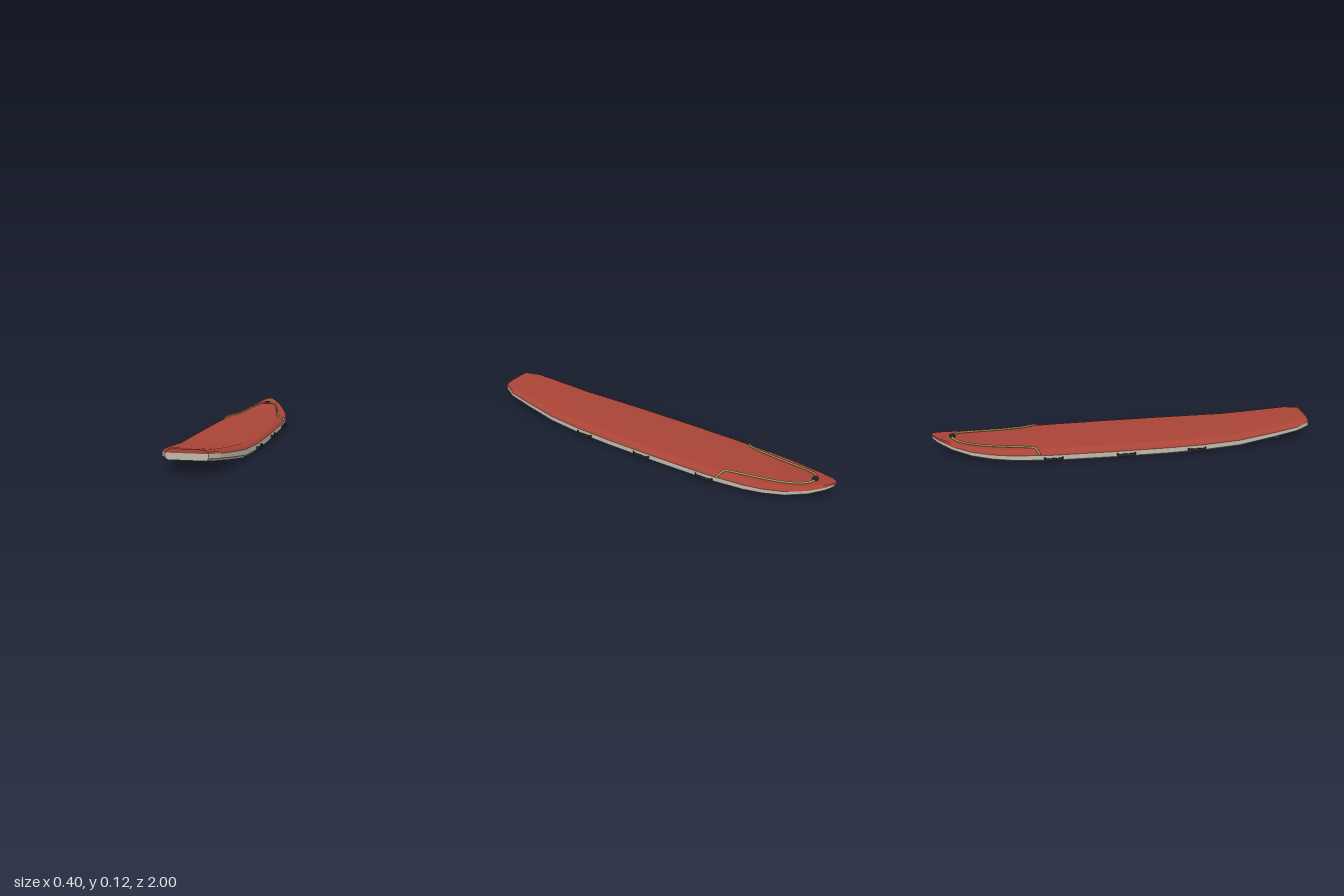
import * as THREE from 'three';

const paint = (name, color) => new THREE.MeshStandardMaterial({ name, color });

// Stations from nose to tail: z, half width, bottom y, top y
const STATIONS = [
  [-1, 0.016, 0.108, 0.127], [-0.97, 0.045, 0.092, 0.119], [-0.9, 0.088, 0.063, 0.102],
  [-0.8, 0.127, 0.037, 0.087], [-0.7, 0.152, 0.023, 0.079], [-0.6, 0.166, 0.013, 0.075],
  [-0.4, 0.18, 0.004, 0.073], [-0.1, 0.185, 0.002, 0.073], [0.2, 0.185, 0.002, 0.073],
  [0.4, 0.18, 0.004, 0.074], [0.6, 0.167, 0.012, 0.078], [0.8, 0.146, 0.039, 0.096],
  [0.93, 0.128, 0.058, 0.109], [1, 0.093, 0.067, 0.115],
];

// Interpolated station at any z
function stationAt(z) {
  let i = 0;
  while (i < STATIONS.length - 2 && STATIONS[i + 1][0] < z) i++;
  const a = STATIONS[i], b = STATIONS[i + 1], t = (z - a[0]) / (b[0] - a[0]);
  return a.map((v, k) => v + (b[k] - v) * t);
}

const mirrorRow = (half) => [...half, ...half.filter((p) => p[0] > 0).reverse().map(([x, y, z]) => [-x, y, z])];

// Cross-sections running from the left seam to the right seam
const seamY = (b, t) => b + (t - b) * 0.62;
const deckRow = ([z, w, b, t]) => mirrorRow([
  [w, seamY(b, t), z], [w * 0.95, b + (t - b) * 0.8, z], [w * 0.82, b + (t - b) * 0.96, z], [w * 0.4, t, z]]);
const hullRow = ([z, w, b, t]) => mirrorRow([
  [w, seamY(b, t), z], [w, b + (t - b) * 0.22, z], [w * 0.9, b, z]]);

// Lofts rows of points into flat faces and closes both ends
function loft(rows, flip) {
  const pos = [];
  const tri = (a, b, c) => pos.push(...a, ...(flip ? c : b), ...(flip ? b : c));
  for (let i = 0; i < rows.length - 1; i++) {
    const r = rows[i], s = rows[i + 1];
    for (let j = 0; j < r.length - 1; j++) {
      tri(r[j], r[j + 1], s[j]);
      tri(r[j + 1], s[j + 1], s[j]);
    }
  }
  const first = rows[0], last = rows[rows.length - 1];
  for (let j = 1; j < first.length - 1; j++) {
    tri(first[0], first[j + 1], first[j]);
    tri(last[0], last[j], last[j + 1]);
  }
  const geo = new THREE.BufferGeometry();
  geo.setAttribute('position', new THREE.Float32BufferAttribute(pos, 3));
  geo.computeVertexNormals();
  return geo;
}

// Height of the deck surface at a point
function deckHeight(x, z) {
  const row = deckRow(stationAt(z)).slice(0, 4), ax = Math.abs(x);
  if (ax >= row[0][0]) return row[0][1];
  for (let i = 0; i < 3; i++) {
    const a = row[i], b = row[i + 1];
    if (ax >= b[0]) return b[1] + (a[1] - b[1]) * (ax - b[0]) / (a[0] - b[0]);
  }
  return row[3][1];
}

// Extruded outline, centred on its depth
function plate(points, depth) {
  const shape = new THREE.Shape(points.map(([x, y]) => new THREE.Vector2(x, y)));
  return new THREE.ExtrudeGeometry(shape, { depth, bevelEnabled: false }).translate(0, 0, -depth / 2);
}

export function createModel() {
  const red = paint('deck red', 0xa94437);
  const beige = paint('hull beige', 0xc0baab);
  const black = paint('fitting black', 0x2b2d2f);
  const olive = paint('rope olive', 0xa59c62);
  const model = new THREE.Group();
  model.name = 'paddleBoard';
  const add = (name, geo, mat) => {
    const mesh = new THREE.Mesh(geo, mat);
    mesh.name = name;
    model.add(mesh);
    return mesh;
  };

  // Board: red deck over a beige hull
  add('deck', loft(STATIONS.map(deckRow), false), red);
  add('hull', loft(STATIONS.map(hullRow), true), beige);

  // Grab handles: bent straps along both rails
  for (const side of [1, -1]) {
    for (const z of [0.362, -0.012, -0.387]) {
      const w = stationAt(z)[1] - 0.002, out = w + 0.017;
      const outline = [[w, -0.05], [out - 0.004, -0.044], [out, -0.032], [out, 0.032], [out - 0.004, 0.044], [w, 0.05],
        [w, 0.045], [out - 0.007, 0.041], [out - 0.004, 0.031], [out - 0.004, -0.031], [out - 0.007, -0.041], [w, -0.045]];
      const handle = add(side > 0 ? 'leftHandle' : 'rightHandle', plate(outline, 0.014).rotateX(Math.PI / 2), black);
      handle.position.set(0, 0.029, z);
      if (side < 0) handle.rotation.y = Math.PI;
    }
  }

  // Raked tail fins
  const fin = [[0.86, 0.003], [0.83, 0.005], [0.79, 0.024], [0.755, 0.042], [0.77, 0.055], [0.835, 0.055], [0.835, 0.035]];
  for (const x of [0.088, -0.088]) {
    const mesh = add(x > 0 ? 'leftFin' : 'rightFin', plate(fin, 0.005).rotateY(-Math.PI / 2).translate(x, 0, 0), black);
    mesh.material = black;
  }

  // Bow rope lying on the deck, tied at both rails
  const half = [[0.183, -0.455], [0.165, -0.465], [0.138, -0.48], [0.122, -0.53], [0.105, -0.63],
    [0.09, -0.73], [0.07, -0.82], [0.045, -0.875], [0.02, -0.897]];
  const path = [...half, [0, -0.9], ...half.map(([x, z]) => [-x, z]).reverse()];
  const curve = new THREE.CatmullRomCurve3(path.map(([x, z]) => new THREE.Vector3(x, deckHeight(x, z) + 0.004, z)));
  add('bowRope', new THREE.TubeGeometry(curve, 72, 0.0055, 6, false), olive);

  // Rope anchor at the nose
  add('ropeAnchor', new THREE.CylinderGeometry(0.013, 0.016, 0.016, 10), black)
    .position.set(0, deckHeight(0, -0.9) + 0.005, -0.9);

  return model;
}
